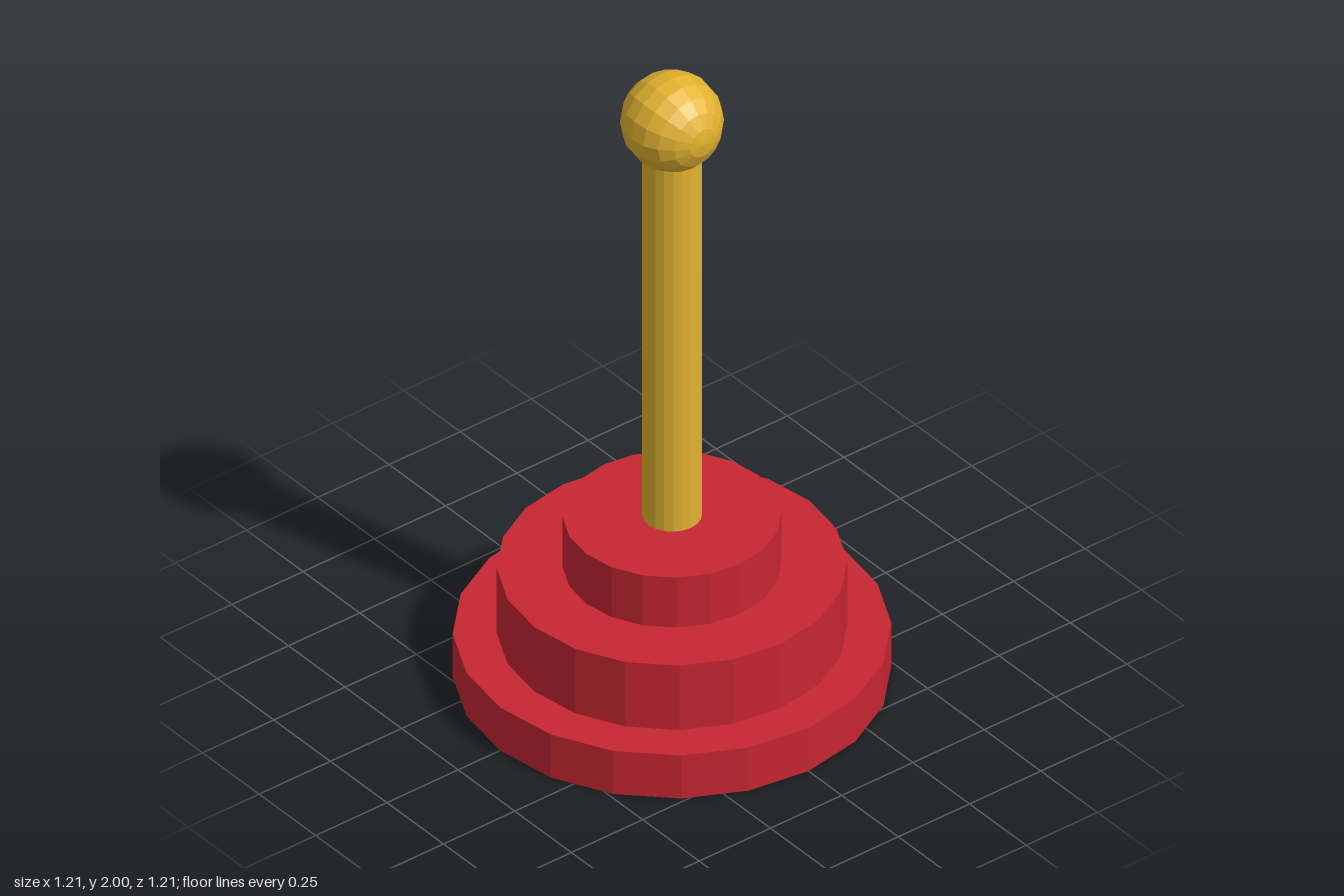
import * as THREE from 'three';

export function createModel() {
  const model = new THREE.Group();
  const red = new THREE.MeshStandardMaterial({ color: 0xc62631, flatShading: true });
  red.name = 'red';
  const gold = new THREE.MeshStandardMaterial({ color: 0xe2b230, flatShading: true });
  gold.name = 'gold';

  // upright cylinder between two heights
  const drum = (name, radius, y0, y1, sides, material) => {
    const mesh = new THREE.Mesh(new THREE.CylinderGeometry(radius, radius, y1 - y0, sides), material);
    mesh.position.y = (y0 + y1) / 2;
    mesh.name = name;
    model.add(mesh);
  };

  // three stepped tiers of the base
  drum('lowerTier', 0.603, 0, 0.145, 20, red);
  drum('middleTier', 0.482, 0.145, 0.362, 20, red);
  drum('upperTier', 0.301, 0.362, 0.53, 20, red);

  // handle rod
  drum('handle', 0.083, 0.53, 1.77, 20, gold);

  // knob, with its poles facing front and back
  const knob = new THREE.Mesh(new THREE.SphereGeometry(0.143, 16, 10), gold);
  knob.rotation.x = Math.PI / 2;
  knob.position.y = 1.857;
  knob.name = 'knob';
  model.add(knob);

  return model;
}
